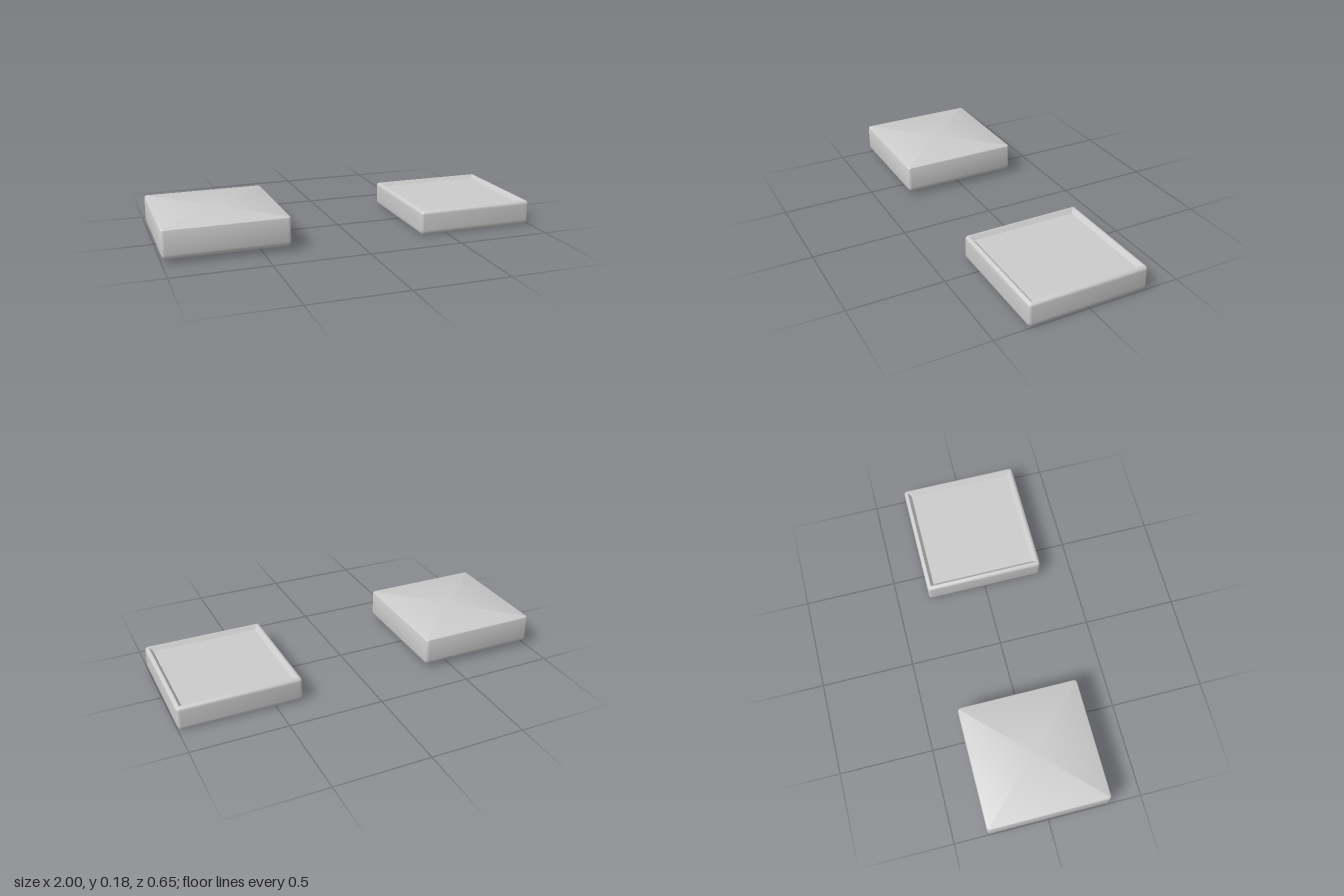
import * as THREE from 'three';
import { toCreasedNormals } from 'three/addons/utils/BufferGeometryUtils.js';

const HALF = 0.323;   // half width of each square block
const CORNER = 0.018; // radius of the upright corners
const STEPS = 4;      // segments per rounded corner

// Sweeps a profile of [inset, height] pairs around a rounded square,
// running from the centre of the underside to the centre of the top.
function squareLoft(profile) {
  const position = [], index = [];
  const count = 4 * (STEPS + 1);
  for (const [inset, y] of profile) {
    const r = Math.max(CORNER - inset, 0);
    const c = HALF - inset - r;
    for (let q = 0; q < 4; q++) {
      const mid = Math.PI / 4 + q * Math.PI / 2;
      const sx = Math.sign(Math.cos(mid)), sz = Math.sign(Math.sin(mid));
      for (let s = 0; s <= STEPS; s++) {
        const a = (q + s / STEPS) * Math.PI / 2;
        position.push(sx * c + r * Math.cos(a), y, sz * c + r * Math.sin(a));
      }
    }
  }
  for (let i = 0; i < profile.length - 1; i++) {
    for (let j = 0; j < count; j++) {
      const k = (j + 1) % count;
      const a = i * count + j, b = i * count + k;
      index.push(a, a + count, b, b, a + count, b + count);
    }
  }
  const geometry = new THREE.BufferGeometry();
  geometry.setAttribute('position', new THREE.Float32BufferAttribute(position, 3));
  geometry.setIndex(index);
  return toCreasedNormals(geometry, 0.6);
}

// Quarter-round edge: bottom runs outwards and up, top runs up and inwards.
function roundEdge(width, height, y, top) {
  const points = [];
  for (let i = 0; i <= 5; i++) {
    const a = (i / 5) * Math.PI / 2;
    points.push(top
      ? [width * (1 - Math.cos(a)), y - height * (1 - Math.sin(a))]
      : [width * (1 - Math.sin(a)), y + height * (1 - Math.cos(a))]);
  }
  return points;
}

export function createModel() {
  const group = new THREE.Group();
  const material = new THREE.MeshStandardMaterial({ color: 0xcccccc });

  const add = (name, x, profile) => {
    const mesh = new THREE.Mesh(squareLoft(profile), material);
    mesh.name = name;
    mesh.position.x = x;
    group.add(mesh);
  };

  // Solid block with a softly rounded underside
  add('solidBlock', HALF - 1, [
    [HALF, 0.016],
    ...roundEdge(0.035, 0.032, 0.016, false),
    ...roundEdge(0.012, 0.012, 0.177, true),
    [HALF, 0.177],
  ]);

  // Shallow tray with a sloped rim above and a recess below
  add('tray', 1 - HALF, [
    [HALF, 0.02],
    [0.024, 0.02],
    [0.018, 0],
    ...roundEdge(0.016, 0.025, 0, false),
    ...roundEdge(0.016, 0.02, 0.13, true),
    [0.02, 0.13],
    [0.038, 0.11],
    [HALF, 0.11],
  ]);

  return group;
}
